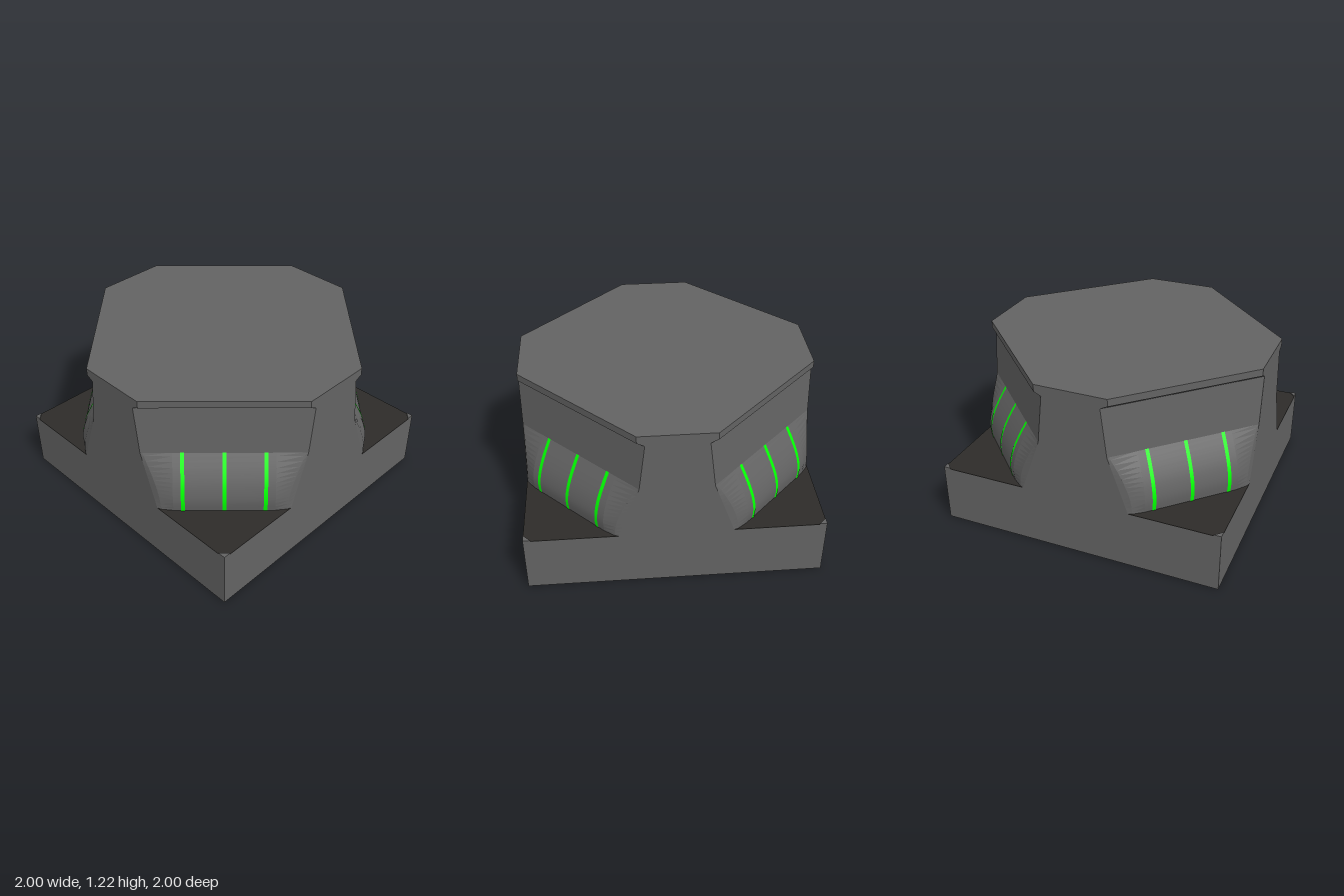
import * as THREE from 'three';

const bodyMat = new THREE.MeshStandardMaterial({ color: 0x636363, flatShading: true, side: THREE.DoubleSide });
const rollMat = new THREE.MeshStandardMaterial({ color: 0x636363, side: THREE.DoubleSide });
const floorMat = new THREE.MeshStandardMaterial({ color: 0x2d2b29 });
const greenMat = new THREE.MeshStandardMaterial({ color: 0x00ff00, side: THREE.DoubleSide });

const FLOOR = 0.41, SHOULDER = 0.8;

// Surface through a list of cross-sections, each listed from top to bottom
function loft(sections) {
  const n = sections[0].length, index = [];
  for (let i = 0; i < sections.length - 1; i++) {
    for (let j = 0; j < n - 1; j++) {
      const a = i * n + j, b = a + n;
      index.push(a, a + 1, b, b, a + 1, b + 1);
    }
  }
  const g = new THREE.BufferGeometry().setFromPoints(sections.flat());
  g.setIndex(index);
  g.computeVertexNormals();
  return g;
}

function add(parent, name, geometry, material) {
  const mesh = new THREE.Mesh(geometry, material);
  mesh.name = name;
  parent.add(mesh);
  return mesh;
}

// Horizontal slab from [x, z] corners, with its top at the given height
function slab(corners, top, depth) {
  const shape = new THREE.Shape(corners.map(([x, z]) => new THREE.Vector2(x, z)));
  return new THREE.ExtrudeGeometry(shape, { depth, bevelEnabled: false })
    .rotateX(Math.PI / 2).translate(0, top, 0);
}

const octagon = (w) => [[1, w], [w, 1], [-w, 1], [-1, w], [-1, -w], [-w, -1], [w, -1], [1, -w]];

// Point on a corner: u runs along the cut, s is x + z
const cornerPoint = (u, s, y) => new THREE.Vector3((s + u) / 2, y, (s - u) / 2);

// Rounded roll profile as [y, s], from the shoulder to the floor
const rollCurve = new THREE.SplineCurve([
  [0.805, 1.237], [0.7, 1.325], [0.6, 1.39], [0.5, 1.422], [FLOOR, 1.412],
].map(([y, s]) => new THREE.Vector2(y, s)));
const profile = rollCurve.getPoints(14).map((p) => [p.x, p.y]);

const rollSection = (u, lift = 0) => profile.map(([y, s]) => cornerPoint(u, s + lift, y));

// Straight line of the body's cut behind the roll
const cutAt = (y) => 1 + THREE.MathUtils.mapLinear(y, FLOOR, SHOULDER, 0.38, 0.24);

function makeCorner() {
  const corner = new THREE.Group();
  corner.name = 'corner';

  // Roll with bevelled ends that meet the side faces
  add(corner, 'roll', loft([rollSection(-0.47), rollSection(0.47)]), rollMat);
  for (const side of [-1, 1]) {
    const edge = profile.map(([y]) => cornerPoint(side * (2 - cutAt(y)), cutAt(y), y));
    const middle = profile.map(([y, s]) => {
      const m = (s + cutAt(y)) / 2;
      return cornerPoint(side * (1.98 - m), m, y);
    });
    const end = rollSection(side * 0.47);
    const ends = side < 0 ? [edge, middle, end] : [end, middle, edge];
    add(corner, 'rollEnd', loft(ends), bodyMat);
  }

  // Green bands around the roll
  for (const u of [-0.38, 0, 0.38]) {
    add(corner, 'greenBand', loft([rollSection(u - 0.018, 0.005), rollSection(u + 0.018, 0.005)]), greenMat);
  }

  // Dark ledge and the small raised tip at its corner
  add(corner, 'ledge', slab([[1, 0.38], [1, 0.95], [0.95, 1], [0.38, 1]], FLOOR + 0.003, 0.003), floorMat);
  add(corner, 'cornerTip', slab([[1, 0.95], [1, 1], [0.95, 1]], FLOOR + 0.01, 0.01), bodyMat);
  return corner;
}

export function createModel() {
  const model = new THREE.Group();
  model.name = 'block';

  // Square base
  add(model, 'base', new THREE.BoxGeometry(2, FLOOR, 2).translate(0, FLOOR / 2, 0), bodyMat);

  // Walls: [y, half width of the flat side face], top to bottom
  const wall = (levels) => {
    const sections = octagon(0).map((_, i) => levels.map(([y, w]) => {
      const [x, z] = octagon(w)[i];
      return new THREE.Vector3(x, y, z);
    }));
    sections.push(sections[0]);
    return loft(sections.reverse());
  };
  add(model, 'body', wall([[1.14, 0.2], [SHOULDER, 0.24], [FLOOR, 0.38]]), bodyMat);

  // Overhanging lip and lid
  add(model, 'lip', wall([[1.215, 0.25], [1.165, 0.25], [1.14, 0.2]]), bodyMat);
  add(model, 'lid', slab(octagon(0.25), 1.215, 0.04), bodyMat);

  // Four identical corners
  for (let i = 0; i < 4; i++) {
    const corner = makeCorner();
    corner.rotation.y = i * Math.PI / 2;
    model.add(corner);
  }
  return model;
}
